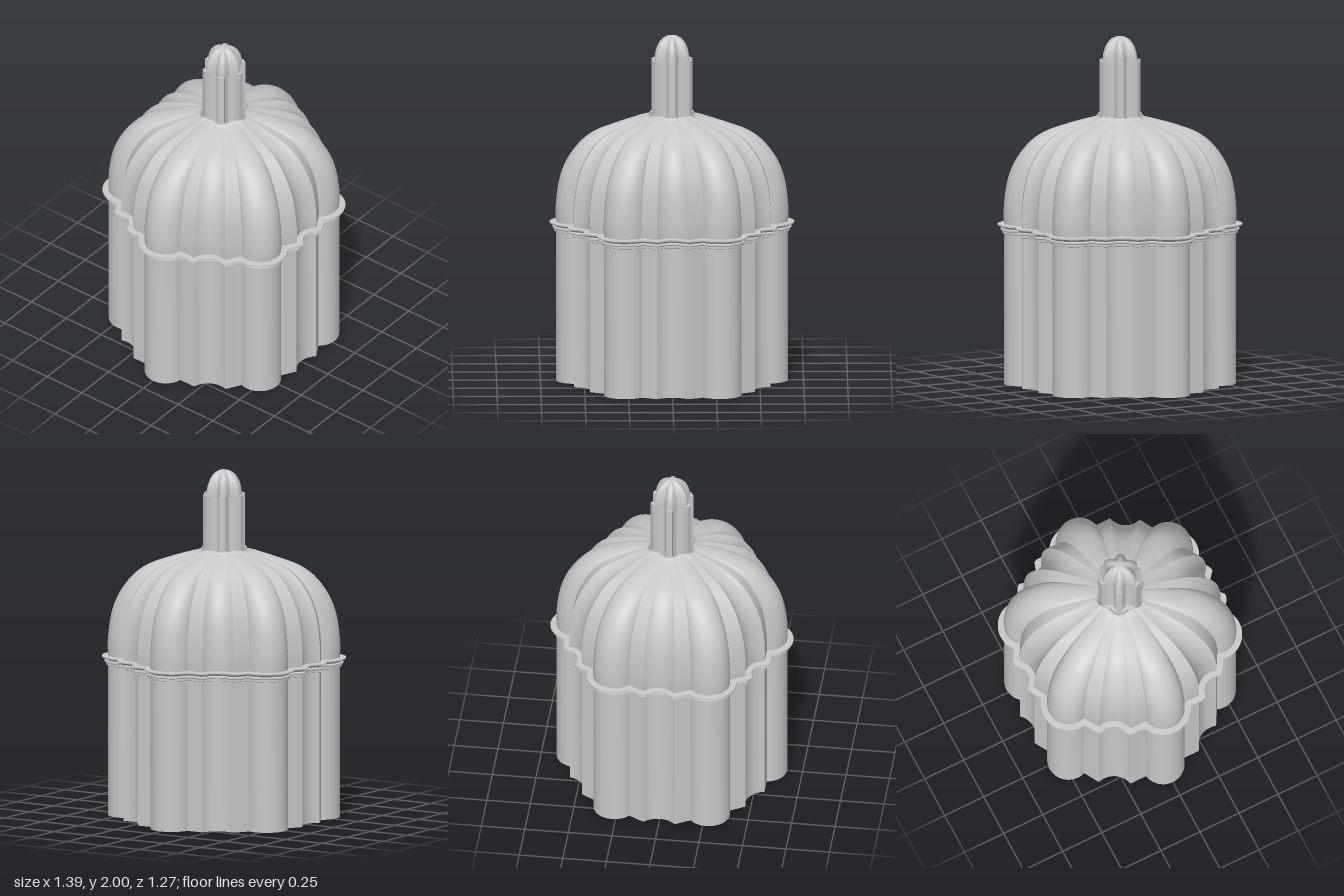
import * as THREE from 'three';
import { toCreasedNormals } from 'three/addons/utils/BufferGeometryUtils.js';

const SECTOR = Math.PI / 3;
const HALF = SECTOR / 2;

// Sampling angles of half a sector, from the scallop centre to the lobe axis
const CORNER = Math.atan2(0.09, 0.595);
const JOIN = Math.atan2(0.176, 0.544);
const half = [];
for (let i = 0; i < 6; i++) half.push(CORNER * i / 6);
for (let i = 0; i < 6; i++) half.push(CORNER + (JOIN - CORNER) * i / 6);
for (let i = 0; i <= 14; i++) half.push(HALF - (HALF - JOIN) * Math.sin((1 - i / 14) * Math.PI / 2));

// All angles round the plan; scallops are centred at 30, 90, 150... degrees
const angles = [];
for (let k = 0; k < 6; k++) {
  const mid = HALF + k * SECTOR;
  for (let i = half.length - 1; i > 0; i--) angles.push(mid - half[i]);
  for (let i = 0; i < half.length - 1; i++) angles.push(mid + half[i]);
}

function localAngle(theta) {
  return Math.abs(theta - Math.floor(theta / SECTOR + 1e-9) * SECTOR - HALF);
}

// Plan radius: six round lobes joined by flats and concave scallops, offset by d
function plan(theta, d = 0) {
  const a = localAngle(theta), s = Math.sin(a), c = Math.cos(a);
  let r = Math.min((0.56 + d) / (0.5 * s + 0.866 * c), 0.602 + d);
  const scallop = (0.121 - d) ** 2 - (0.675 * s) ** 2;
  if (scallop > 0) r = Math.min(r, 0.675 * c - Math.sqrt(scallop));
  const along = 0.27 * s + 0.468 * c;
  const lobe = (0.12 + d) ** 2 - (0.54 ** 2 - along ** 2);
  return lobe > 0 ? Math.max(r, along + Math.sqrt(lobe)) : r;
}

const opening = (theta) => 0.13 - 0.01 * Math.cos(6 * theta);
const star = (theta) => 0.095 - 0.015 * Math.cos(6 * theta);

// Skin through rows of [radius function, height]
function loft(rows, crease = 0.5) {
  const pos = [], index = [], n = angles.length;
  for (const [radius, y] of rows) {
    for (const t of angles) {
      const r = radius(t);
      pos.push(r * Math.cos(t), y, -r * Math.sin(t));
    }
  }
  for (let j = 0; j < rows.length - 1; j++) {
    for (let i = 0; i < n; i++) {
      const a = j * n + i, b = j * n + (i + 1) % n;
      index.push(a, b, a + n, b, b + n, a + n);
    }
  }
  const g = new THREE.BufferGeometry();
  g.setAttribute('position', new THREE.Float32BufferAttribute(pos, 3));
  g.setIndex(index);
  return toCreasedNormals(g, crease);
}

export function createModel() {
  const model = new THREE.Group();
  model.name = 'lobedDome';
  const stone = new THREE.MeshStandardMaterial({ color: 0xc8c8c8, side: THREE.DoubleSide });
  stone.name = 'greyStone';

  const add = (name, geometry, parent = model) => {
    const mesh = new THREE.Mesh(geometry, stone);
    mesh.name = name;
    parent.add(mesh);
    return mesh;
  };
  const offsetRows = (list) => list.map(([d, y]) => [(t) => plan(t, d), y]);

  // Hollow drum: inner wall, bottom rim, outer wall
  add('drum', loft(offsetRows([[-0.018, 0.92], [-0.018, 0], [0, 0], [0, 0.92]])));

  // Moulded cornice following the plan
  add('cornice', loft(offsetRows([
    [0, 0.868], [0.012, 0.872], [0.012, 0.884], [0.02, 0.888], [0.02, 0.896],
    [0.01, 0.9], [0.022, 0.908], [0.036, 0.914], [0.036, 0.922], [0, 0.924],
  ])));

  // Dome: plan scaled along a curved profile, easing into the lantern opening
  const profile = new THREE.SplineCurve([
    [0.66, 0.92], [0.662, 1.0], [0.65, 1.12], [0.625, 1.22], [0.58, 1.31], [0.51, 1.395],
    [0.43, 1.45], [0.33, 1.487], [0.22, 1.522], [0.14, 1.55],
  ].map(([x, y]) => new THREE.Vector2(x, y)));
  const domeRows = (d, drop) => profile.getPoints(27).map((p) => {
    const k = p.x / 0.66;
    const w = THREE.MathUtils.smoothstep(-p.x, -0.27, -0.14);
    return [(t) => (1 - w) * k * plan(t, d) + w * opening(t), p.y - drop * (1 - k)];
  });
  add('domeOuterShell', loft(domeRows(0, 0)));
  add('domeInnerShell', loft(domeRows(-0.018, 0.02).reverse()));

  // Sloping throat around the lantern foot
  add('lanternThroat', loft([[opening, 1.55], [(t) => 0.85 * opening(t), 1.5], [() => 0.001, 1.5]]));

  // Lantern: ribbed shaft, six fins and a fluted cap
  const lantern = new THREE.Group();
  lantern.name = 'lantern';
  model.add(lantern);
  add('lanternShaft', loft([[(t) => 0.9 * star(t), 1.5], [(t) => 0.9 * star(t), 1.86]]), lantern);
  for (let k = 0; k < 6; k++) {
    const a = HALF + k * SECTOR;
    const fin = add('lanternFin', new THREE.BoxGeometry(0.045, 0.36, 0.034), lantern);
    fin.position.set(0.102 * Math.cos(a), 1.68, -0.102 * Math.sin(a));
    fin.rotation.y = a;
  }
  const cap = [[() => 0.001, 1.85], [star, 1.85]];
  for (let i = 0; i <= 12; i++) {
    const u = i / 12 * Math.PI / 2;
    cap.push([(t) => Math.max(Math.cos(u), 0.005) * star(t), 1.86 + 0.14 * Math.sin(u)]);
  }
  add('lanternCap', loft(cap, 0.7), lantern);

  return model;
}
